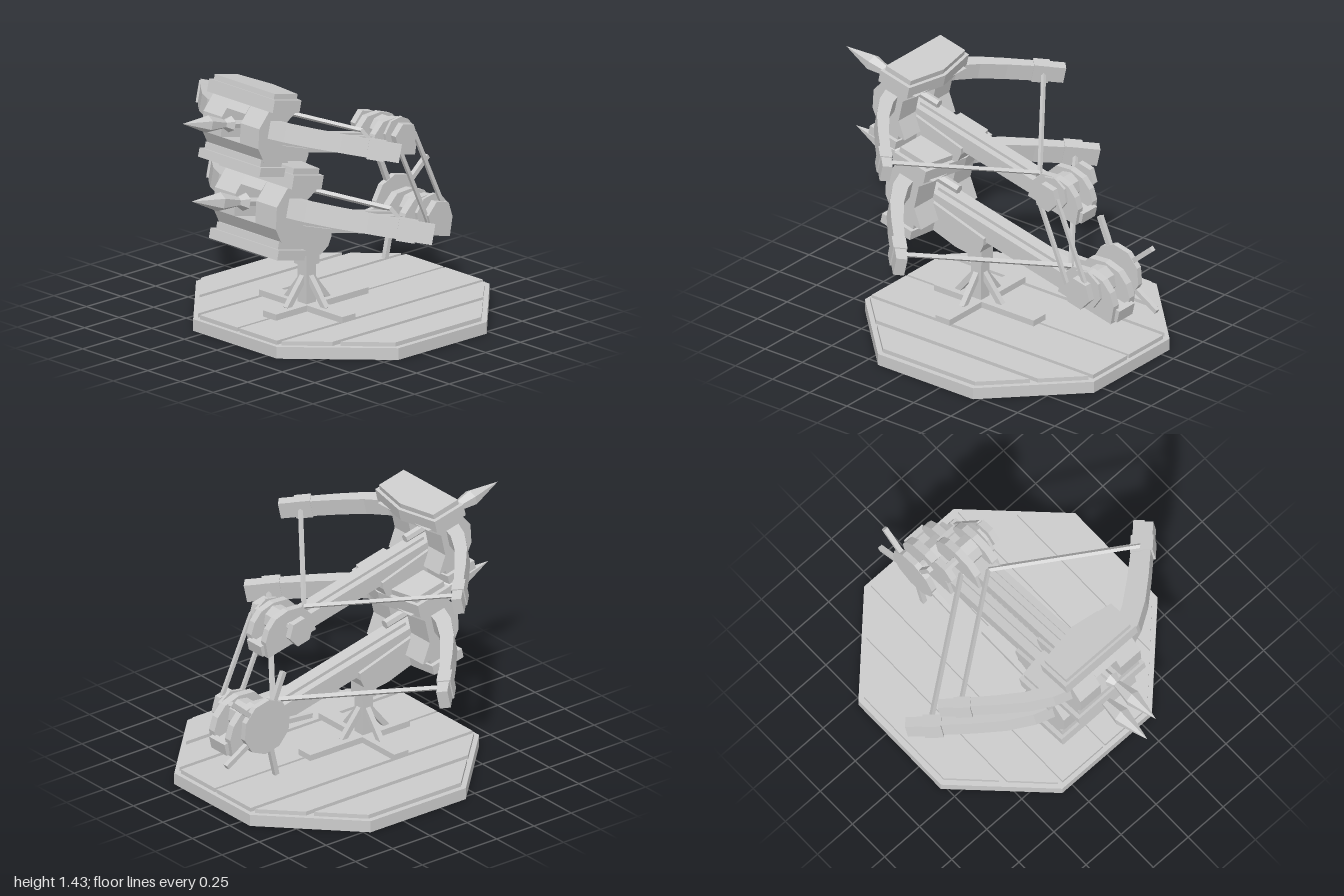
import * as THREE from 'three';

const mat = new THREE.MeshStandardMaterial({ color: 0xcccccc, flatShading: true, side: THREE.DoubleSide });

function add(parent, name, geo) {
  const m = new THREE.Mesh(geo, mat);
  m.name = name;
  parent.add(m);
  return m;
}

// box given by its limits on each axis
function box(parent, name, x0, x1, y0, y1, z0, z1) {
  const m = add(parent, name, new THREE.BoxGeometry(x1 - x0, y1 - y0, z1 - z0));
  m.position.set((x0 + x1) / 2, (y0 + y1) / 2, (z0 + z1) / 2);
  return m;
}

function extrude(pts, depth) {
  const shape = new THREE.Shape(pts.map(p => new THREE.Vector2(p[0], p[1])));
  return new THREE.ExtrudeGeometry(shape, { depth, bevelEnabled: false });
}

// side profile of [z, y] points, extruded across x
function side(parent, name, pts, x0, x1) {
  return add(parent, name, extrude(pts, x1 - x0).rotateY(-Math.PI / 2).translate(x1, 0, 0));
}

// plan outline of [x, z] points, extruded up y
function plan(parent, name, pts, y0, y1) {
  return add(parent, name, extrude(pts, y1 - y0).rotateX(Math.PI / 2).translate(0, y1, 0));
}

// straight bar between two points
function bar(parent, name, a, b, r, sides = 4) {
  const p = new THREE.Vector3(...a), d = new THREE.Vector3(...b).sub(p);
  const geo = new THREE.CylinderGeometry(r, r, d.length(), sides).rotateY(Math.PI / 4);
  const m = add(parent, name, geo);
  m.position.copy(p).addScaledVector(d, 0.5);
  m.quaternion.setFromUnitVectors(new THREE.Vector3(0, 1, 0), d.normalize());
  return m;
}

// disc with its axis along x
function disc(parent, name, r, x0, x1, y, z, sides) {
  const m = add(parent, name, new THREE.CylinderGeometry(r, r, x1 - x0, sides).rotateZ(Math.PI / 2));
  m.position.set((x0 + x1) / 2, y, z);
  return m;
}

const AXLE_Y = 0.215, AXLE_Z = -0.765, TILT = 0.227;

function platform(root) {
  const g = new THREE.Group();
  g.name = 'platform';
  root.add(g);
  plan(g, 'octagonBase', [[-0.32, 0.62], [0.32, 0.62], [0.775, 0.17], [0.775, -0.47],
    [0.32, -0.92], [-0.32, -0.92], [-0.775, -0.47], [-0.775, 0.17]], 0, 0.065);
  // planks trimmed to the octagon
  const reach = x => 0.745 - Math.max(0, Math.abs(x) - 0.31);
  for (const s of [-1, 1]) for (const [a, b] of [[0.008, 0.295], [0.32, 0.51], [0.54, 0.745]]) {
    const ra = reach(a), rb = reach(b), c = -0.15;
    plan(g, 'plank', [[s * a, c + ra], [s * b, c + rb], [s * b, c - rb], [s * a, c - ra]], 0.06, 0.088);
  }
  // crossed feet, post and braces
  box(g, 'footAcross', -0.32, 0.32, 0.088, 0.122, 0.05, 0.145);
  box(g, 'footAlong', -0.05, 0.05, 0.088, 0.122, -0.3, 0.37);
  box(g, 'post', -0.035, 0.035, 0.12, 0.36, 0.065, 0.135);
  box(g, 'postHead', -0.048, 0.048, 0.335, 0.46, 0.052, 0.148);
  for (const s of [-1, 1]) {
    bar(g, 'brace', [s * 0.145, 0.115, 0.1], [s * 0.02, 0.27, 0.1], 0.022);
    bar(g, 'brace', [0, 0.115, 0.1 + s * 0.145], [0, 0.27, 0.1 + s * 0.02], 0.022);
  }
}

function bow(parent, s) {
  const g = new THREE.Group();
  g.name = s > 0 ? 'leftBowArm' : 'rightBowArm';
  parent.add(g);
  // curved limb: centre line offset to both sides
  const path = [[0.2, 0.4], [0.32, 0.36], [0.45, 0.28], [0.58, 0.17], [0.72, 0.04]];
  const outer = [], inner = [];
  path.forEach(([x, z], i) => {
    const a = path[Math.max(0, i - 1)], b = path[Math.min(path.length - 1, i + 1)];
    const dx = b[0] - a[0], dz = b[1] - a[1], l = Math.hypot(dx, dz), w = 0.045 - i * 0.004;
    outer.push([s * (x - dz / l * w), z + dx / l * w]);
    inner.unshift([s * (x + dz / l * w), z - dx / l * w]);
  });
  plan(g, 'limb', [...outer, ...inner], 0.215, 0.32);
  // capped tip
  const tip = add(g, 'limbCap', new THREE.BoxGeometry(0.1, 0.118, 0.075));
  tip.position.set(s * 0.735, 0.267, 0.03);
  const end = add(g, 'limbEnd', new THREE.BoxGeometry(0.1, 0.105, 0.06));
  end.position.set(s * 0.8, 0.267, -0.035);
  tip.rotation.y = end.rotation.y = s * Math.PI / 4;
  bar(g, 'bowString', [s * 0.73, 0.262, 0], [0, 0.21, -0.58], 0.015);
}

function crossbow(name, lower) {
  const g = new THREE.Group();
  g.name = name;
  // front frame: two curved pillars with a window between
  const pillar = [[0.43, 0.07], [0.495, 0.15], [0.515, 0.27], [0.45, 0.39],
    [0.22, 0.39], [0.3, 0.31], [0.3, 0.17], [0.23, 0.07]];
  side(g, 'leftPillar', pillar, 0.08, 0.238);
  side(g, 'rightPillar', pillar, -0.238, -0.08);
  side(g, 'windowLintel', [[0.49, 0.325], [0.45, 0.39], [0.22, 0.39], [0.29, 0.325]], -0.08, 0.08);
  side(g, 'windowSill', [[0.43, 0.07], [0.495, 0.15], [0.3, 0.15], [0.23, 0.07]], -0.08, 0.08);
  // five-sided slabs with a peaked back edge
  const slab = (label, w, front, back, peak, y0, y1) =>
    plan(g, label, [[-w, front], [w, front], [w, back], [0, peak], [-w, back]], y0, y1);
  slab('roofSlab', 0.28, 0.47, 0.25, 0.2, 0.378, 0.455);
  slab('roofCap', 0.255, 0.455, 0.265, 0.22, 0.455, 0.487);
  slab('floorBlock', 0.237, 0.455, 0.28, 0.25, 0.04, 0.085);
  slab('floorSlab', 0.262, 0.472, 0.27, 0.24, -0.01, 0.045);
  // rail, bolt groove and cradle below it
  box(g, 'rail', -0.07, 0.07, 0.095, 0.178, -0.62, 0.32);
  for (const s of [-1, 1]) box(g, 'railEdge', s > 0 ? 0.028 : -0.07, s > 0 ? 0.07 : -0.028, 0.175, 0.19, -0.6, 0.32);
  box(g, 'boltTrack', -0.018, 0.018, 0.175, 0.2, -0.57, 0.32);
  side(g, 'cradle', [[0.27, -0.005], [0.09, -0.024], [-0.02, -0.015], [-0.065, 0.03],
    [-0.076, 0.08], [-0.07, 0.12], [0.3, 0.15]], -0.09, 0.09);

  // bolt with a faceted head
  const bolt = new THREE.Group();
  bolt.name = 'bolt';
  g.add(bolt);
  bar(bolt, 'boltShaft', [0, 0.246, 0.2], [0, 0.246, 0.56], 0.026, 6);
  const head = [[0, 0.52], [0.05, 0.52], [0.026, 0.57], [0.052, 0.71], [0, 0.913]];
  const headGeo = new THREE.LatheGeometry(head.map(p => new THREE.Vector2(...p)), 6);
  add(bolt, 'boltHead', headGeo.rotateX(Math.PI / 2)).position.y = 0.246;
  bow(g, 1);
  bow(g, -1);

  // winch housing, axle and spool
  const w = new THREE.Group();
  w.name = 'winch';
  g.add(w);
  const dome = [[-0.59, 0.088], [-0.6, 0.205], [-0.65, 0.283], [-0.752, 0.313],
    [-0.847, 0.304], [-0.91, 0.26], [-0.95, 0.194], [-0.955, 0.088]];
  side(w, 'leftCheek', dome, 0.045, 0.09);
  side(w, 'rightCheek', dome, -0.09, -0.045);
  box(w, 'winchFloor', -0.05, 0.05, 0.088, 0.15, -0.95, -0.6);
  box(w, 'winchBackPlate', -0.065, 0.065, 0.1, 0.17, -0.975, -0.94);
  disc(w, 'spool', 0.085, -0.05, 0.05, AXLE_Y, AXLE_Z, 8);
  disc(w, 'axle', 0.025, -0.17, 0.16, AXLE_Y, AXLE_Z, 6);
  disc(w, 'leftCollar', 0.11, 0.1, 0.118, AXLE_Y, AXLE_Z, 8);
  disc(w, 'leftPulley', 0.088, 0.14, 0.182, AXLE_Y, AXLE_Z, 6);
  if (lower) {
    // hand wheel with five spokes
    disc(w, 'handWheel', 0.155, -0.183, -0.15, AXLE_Y, AXLE_Z, 10);
    for (let i = 0; i < 5; i++) {
      const a = -(0.09 + i * Math.PI * 0.4) - TILT + Math.PI;
      const dir = [Math.sin(a - Math.PI), Math.cos(a)];
      bar(w, 'wheelSpoke', [-0.167, AXLE_Y + dir[0] * -0.0, AXLE_Z],
        [-0.167, AXLE_Y - dir[0] * -0.308, AXLE_Z + dir[1] * 0.308], 0.019);
    }
  } else {
    disc(w, 'rightPulley', 0.088, -0.205, -0.165, AXLE_Y, AXLE_Z, 6);
  }
  g.rotation.x = -TILT;
  return g;
}

export function createModel() {
  const root = new THREE.Group();
  root.name = 'doubleBoltThrower';
  platform(root);
  const low = crossbow('lowerCrossbow', true);
  low.position.set(0, 0.42, 0.1);
  const high = crossbow('upperCrossbow', false);
  high.position.set(0, 0.91, 0.249);
  high.scale.setScalar(0.9);
  root.add(low, high);

  // drive belts joining the two winches
  for (const s of [-1, 1]) {
    bar(root, 'driveBelt', [0.15, 0.93 + s * 0.02, -0.475 - s * 0.06], [0.158, 0.43 + s * 0.02, -0.7 - s * 0.06], 0.014);
  }
  return root;
}
